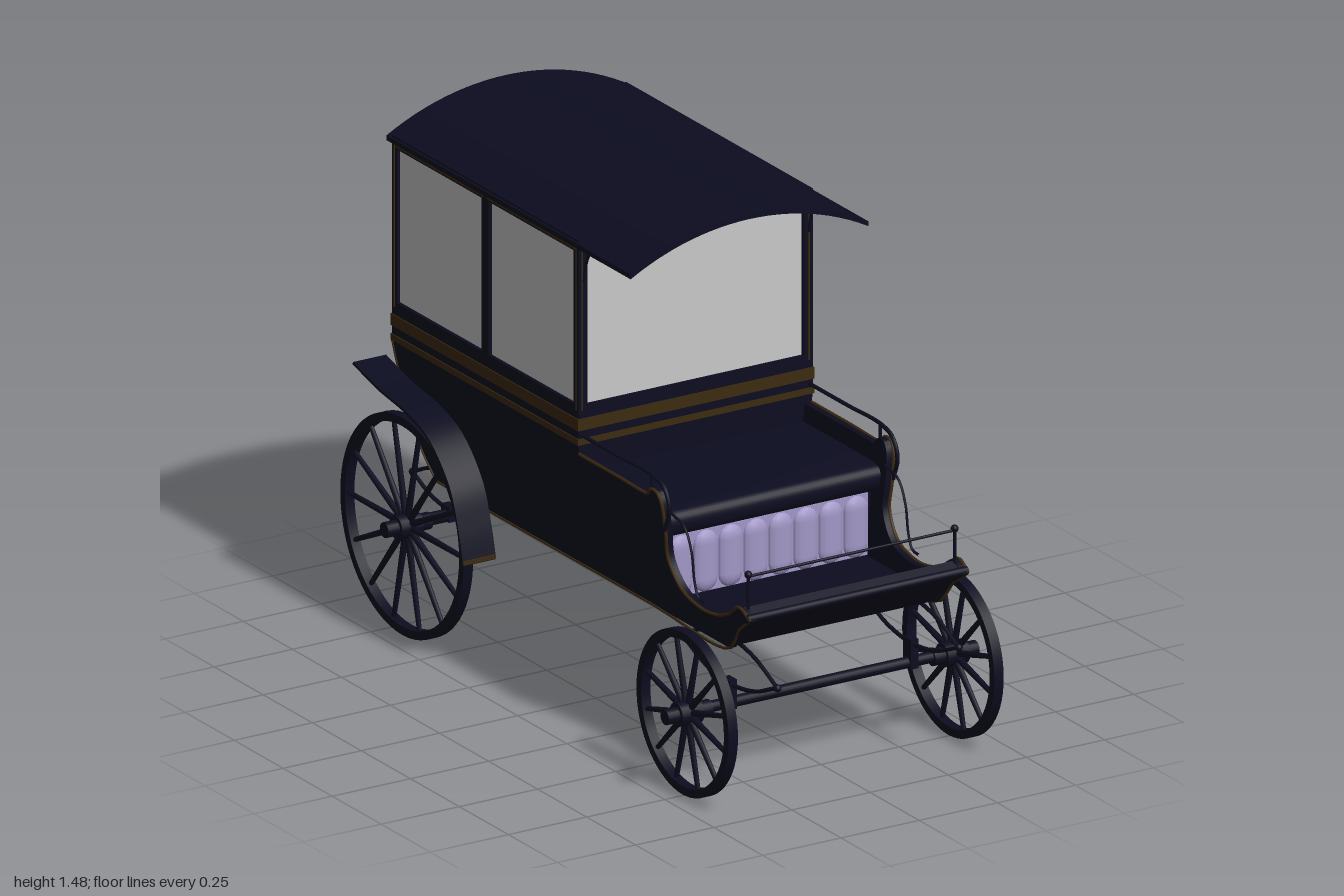
import * as THREE from 'three';
import { toCreasedNormals } from 'three/addons/utils/BufferGeometryUtils.js';

const mat = (name, color, side = THREE.FrontSide) => {
  const m = new THREE.MeshStandardMaterial({ color, side });
  m.name = name;
  return m;
};

export function createModel() {
  const root = new THREE.Group();
  root.name = 'carriage';
  const navy = mat('navy paint', 0x0c0c20);
  const gold = mat('dull gold trim', 0x3c2a10);
  const glass = mat('pale glass', 0xc8c8c8, THREE.DoubleSide);
  const lilac = mat('lilac upholstery', 0xa398c8);

  const add = (name, geo, material, parent = root) => {
    const m = new THREE.Mesh(geo, material);
    m.name = name;
    parent.add(m);
    return m;
  };
  const box = (name, w, h, d, x, y, z, material = navy, parent = root) =>
    add(name, new THREE.BoxGeometry(w, h, d).translate(x, y, z), material, parent);
  const v2 = (pts) => pts.map(([a, b]) => new THREE.Vector2(a, b));
  const smooth = (pts, n) => new THREE.SplineCurve(v2(pts)).getPoints(n).map((p) => [p.x, p.y]);

  // Half width of the coachwork, flaring upward
  const halfWidth = (y) => 0.335 + 0.04 * Math.min(1, (y - 0.43) / 0.37);
  const flare = (geo) => {
    const p = geo.attributes.position;
    for (let i = 0; i < p.count; i++) p.setX(i, p.getX(i) * halfWidth(p.getY(i)));
    return geo;
  };
  // Extrude a (z, y) profile across x
  const across = (pts, x0, x1) =>
    new THREE.ExtrudeGeometry(new THREE.Shape(v2(pts)), { depth: x1 - x0, bevelEnabled: false })
      .rotateY(-Math.PI / 2).translate(x1, 0, 0);
  const crease = (geo) => toCreasedNormals(geo, 0.6);
  // Tube through (z, y) points at a fixed or height-following x
  const rod = (name, pts, x, r, material = navy, n = 24) => {
    const curve = new THREE.CatmullRomCurve3(pts.map(([z, y]) =>
      new THREE.Vector3(typeof x === 'function' ? x(y) : x, y, z)), false, 'centripetal');
    return add(name, new THREE.TubeGeometry(curve, n, r, 6), material);
  };
  const bar = (name, r, x0, x1, y, z, parent = root) =>
    add(name, new THREE.CylinderGeometry(r, r, x1 - x0, 16).rotateZ(Math.PI / 2)
      .translate((x0 + x1) / 2, y, z), navy, parent);

  // Lower body, seat box and footwell
  const rearCurve = smooth([[-0.84, 0.8], [-0.815, 0.69], [-0.77, 0.56], [-0.73, 0.49], [-0.675, 0.43]], 16);
  add('rearBody', crease(flare(across([[0.11, 0.43], [0.11, 0.8], ...rearCurve], -1, 1))), navy);
  const toeBoard = smooth([[0.9, 0.575], [0.85, 0.52], [0.78, 0.47], [0.7, 0.455]], 10);
  const seatLip = smooth([[0.47, 0.64], [0.5, 0.65], [0.51, 0.68], [0.5, 0.71], [0.46, 0.72]], 12);
  add('seatAndFootwell', crease(flare(across([[0.11, 0.43], [0.82, 0.435], [0.875, 0.5], [0.94, 0.55],
    ...toeBoard, [0.47, 0.455], ...seatLip, [0.11, 0.72]], -0.97, 0.97))), navy);

  const armEdge = smooth([[0.46, 0.77], [0.48, 0.79], [0.51, 0.788], [0.53, 0.755], [0.535, 0.68], [0.535, 0.6],
    [0.59, 0.53], [0.68, 0.505], [0.76, 0.51], [0.83, 0.535], [0.89, 0.575], [0.945, 0.55]], 48);
  const underEdge = [[0.945, 0.55], [0.875, 0.5], [0.82, 0.43]];
  const armProfile = [[0.11, 0.43], [0.11, 0.77], ...armEdge, ...underEdge.slice(1)];

  // Tufted panel below the seat
  const panel = new THREE.Group();
  panel.name = 'tuftedPanel';
  root.add(panel);
  box('panelBacking', 0.64, 0.18, 0.01, 0, 0.548, 0.474, lilac, panel);
  for (let i = 0; i < 8; i++) {
    add('tuft', new THREE.CapsuleGeometry(0.04, 0.1, 4, 12).scale(1, 1, 0.45)
      .translate(-0.28 + i * 0.08, 0.547, 0.477), lilac, panel);
  }

  // Cab: walls with openings, and panes set into them
  const wall = (name, width, holes, place) => {
    const g = new THREE.Group();
    g.name = name;
    const s = new THREE.Shape(v2([[-width / 2, 0.8], [width / 2, 0.8], [width / 2, 1.39], [-width / 2, 1.39]]));
    for (const [a, b] of holes) {
      s.holes.push(new THREE.Path(v2([[a, 0.91], [a, 1.355], [b, 1.355], [b, 0.91]])));
      box('pane', b - a, 0.445, 0.004, (a + b) / 2, 1.1325, -0.012, glass, g);
      box('paneTopTrim', b - a + 0.02, 0.006, 0.004, (a + b) / 2, 1.363, 0, gold, g);
    }
    add('frame', new THREE.ExtrudeGeometry(s, { depth: 0.025, bevelEnabled: false }).translate(0, 0, -0.025), navy, g);
    for (const e of [-1, 1]) box('cornerTrim', 0.005, 0.47, 0.004, e * (width / 2 - 0.012), 1.13, 0, gold, g);
    place(g);
    root.add(g);
  };
  const MID = -0.365, LEN = 0.95;
  wall('frontWall', 0.75, [[-0.345, 0.345]], (g) => g.position.set(0, 0, 0.11));
  wall('backWall', 0.75, [[-0.345, 0.345]], (g) => { g.rotation.y = Math.PI; g.position.z = -0.84; });
  for (const s of [-1, 1]) {
    wall(s > 0 ? 'leftWall' : 'rightWall', LEN, [[-0.45, -0.018], [0.018, 0.45]], (g) => {
      g.rotation.y = s * Math.PI / 2;
      g.position.set(s * 0.375, 0, MID);
    });
  }
  box('upperStripe', 0.756, 0.034, LEN + 0.006, 0, 0.855, MID, gold);
  box('lowerStripe', 0.756, 0.018, LEN + 0.006, 0, 0.805, MID, gold);

  // Arched roof and the filled gable under it
  const arch = (drop, half) => {
    const pts = [];
    for (let i = 0; i <= 24; i++) {
      const x = half * (1 - i / 12);
      pts.push([x, 0.692 - drop + Math.sqrt(0.788 ** 2 - x * x)]);
    }
    return pts;
  };
  const along = (pts, z0, z1) => crease(new THREE.ExtrudeGeometry(new THREE.Shape(v2(pts)),
    { depth: z1 - z0, bevelEnabled: false }).translate(0, 0, z0));
  add('roof', along([...arch(0, 0.38), ...arch(0.014, 0.38).reverse()], -0.86, 0.385), navy);
  add('gable', along([...arch(0.01, 0.372), [-0.372, 1.36], [0.372, 1.36]], -0.838, 0.108), navy);

  // Wheel with rim, spokes and stepped hub
  const wheel = (name, r, spokes, y, z, side) => {
    const g = new THREE.Group();
    g.name = name;
    const ring = new THREE.Shape().absarc(0, 0, r, 0, Math.PI * 2);
    ring.holes.push(new THREE.Path().absarc(0, 0, r - 0.024, 0, Math.PI * 2, true));
    add('rim', crease(new THREE.ExtrudeGeometry(ring, { depth: 0.03, curveSegments: 32, bevelEnabled: false })
      .translate(0, 0, -0.015).rotateY(Math.PI / 2)), navy, g);
    for (let i = 0; i < spokes; i++) {
      add('spoke', new THREE.CylinderGeometry(0.007, 0.01, r - 0.03, 8)
        .translate(0, (r - 0.01) / 2, 0).rotateX((i + 0.5) / spokes * Math.PI * 2), navy, g);
    }
    const sx = (a, b) => (side > 0 ? [a, b] : [-b, -a]);
    bar('hub', 0.034, ...sx(-0.035, 0.035), 0, 0, g);
    bar('hubCap', 0.022, ...sx(0.035, 0.072), 0, 0, g);
    bar('hubCollar', 0.024, ...sx(-0.07, -0.035), 0, 0, g);
    g.position.set(side * 0.425, y, z);
    root.add(g);
  };
  bar('frontAxle', 0.016, -0.42, 0.42, 0.24, 0.745);
  bar('rearAxle', 0.018, -0.42, 0.42, 0.32, -0.685);

  const fenderLine = smooth([[-0.31, 0.335], [-0.335, 0.43], [-0.38, 0.54], [-0.48, 0.64], [-0.6, 0.685],
    [-0.74, 0.708], [-0.87, 0.742]], 28);
  const fenderUnder = fenderLine.map(([z, y]) => [z - 0.005, y - 0.007]).reverse();

  for (const s of [-1, 1]) {
    const sideX = (y) => s * halfWidth(y);
    const [a, b] = s > 0 ? [0.94, 1] : [-1, -0.94];
    add('seatSide', crease(flare(across(armProfile, a, b))), navy);
    // Gold edging along the side panels
    rod('armTrim', [[0.11, 0.77], [0.3, 0.77], ...armEdge], sideX, 0.005, gold, 80);
    rod('sillTrim', [...underEdge, [0.4, 0.43], [-0.675, 0.43]], sideX, 0.004, gold, 40);
    rod('rearTrim', rearCurve, sideX, 0.004, gold);

    wheel('frontWheel', 0.235, 12, 0.238, 0.745, s);
    wheel('rearWheel', 0.315, 14, 0.317, -0.685, s);

    const [f0, f1] = s > 0 ? [0.375, 0.48] : [-0.48, -0.375];
    add('rearFender', crease(across([...fenderLine, ...fenderUnder], f0, f1)), navy);
    box('fenderTip', 0.105, 0.012, 0.009, s * 0.4275, 0.338, -0.313, gold);

    // Elliptic springs and their axle blocks
    for (const [z, h, y, lo, hi, ay] of [[0.745, 0.245, 0.36, 0.295, 0.43, 0.24], [-0.685, 0.185, 0.385, 0.335, 0.44, 0.32]]) {
      for (const m of [lo, hi]) {
        rod('spring', [[z - h, y], [z - h / 2, y + (m - y) * 0.75], [z, m], [z + h / 2, y + (m - y) * 0.75], [z + h, y]], s * 0.29, 0.006);
      }
      for (const e of [-1, 1]) {
        add('springEye', new THREE.SphereGeometry(0.011, 10, 8).translate(s * 0.29, y, z + e * h), navy);
      }
      box('axleBlock', 0.025, lo - ay + 0.03, 0.04, s * 0.29, (lo + ay) / 2, z);
    }
    box('springMount', 0.02, 0.05, 0.03, s * 0.29, 0.43, 0.745);

    // Seat rail, grab iron, dash post and canopy bracket
    rod('seatRail', [[0.11, 0.825], [0.3, 0.825], [0.48, 0.825], [0.535, 0.805], [0.558, 0.755], [0.535, 0.685]], s * 0.365, 0.006, navy, 40);
    rod('railPost', [[0.47, 0.77], [0.47, 0.825]], s * 0.365, 0.005, navy, 2);
    rod('grabIron', [[0.53, 0.73], [0.6, 0.71], [0.635, 0.65], [0.65, 0.57], [0.67, 0.53], [0.705, 0.525]], s * 0.342, 0.004);
    rod('dashPost', [[0.905, 0.56], [0.905, 0.67]], s * 0.33, 0.005, navy, 2);
    add('postKnob', new THREE.SphereGeometry(0.011, 10, 8).translate(s * 0.33, 0.67, 0.905), navy);
    rod('canopyBracket', [[0.2, 1.385], [0.15, 1.365], [0.125, 1.32], [0.115, 1.27]], s * 0.36, 0.004);
  }
  bar('dashRail', 0.004, -0.33, 0.33, 0.665, 0.905);
  bar('dashRoll', 0.012, -0.352, 0.352, 0.553, 0.932);

  return root;
}
